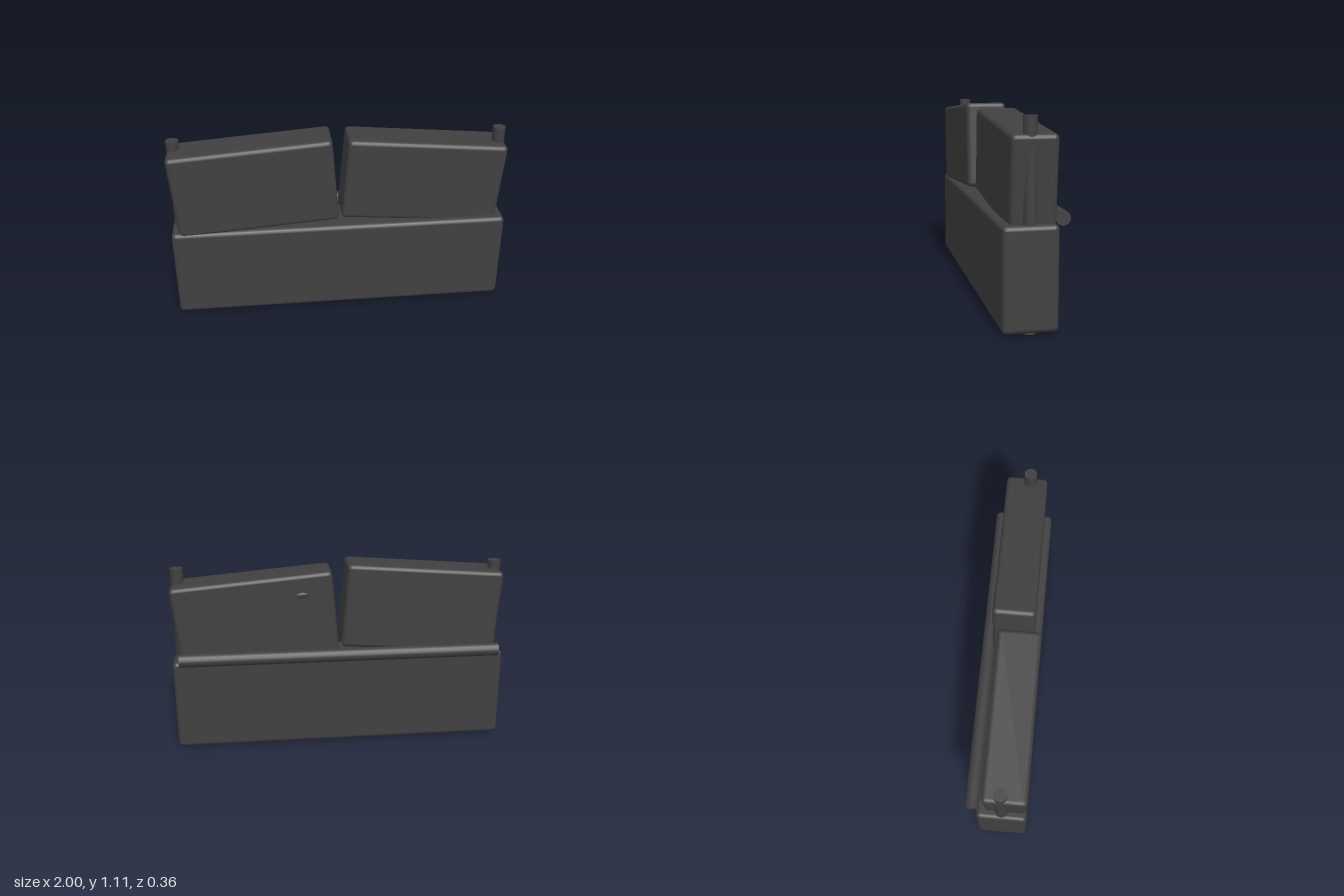
import * as THREE from 'three';
import { RoundedBoxGeometry } from 'three/addons/geometries/RoundedBoxGeometry.js';

export function createModel() {
  const group = new THREE.Group();
  const darkGrey = new THREE.MeshStandardMaterial({ color: 0x404040 });
  darkGrey.name = 'darkGrey';

  const add = (name, geometry, x, y, z, tilt = 0) => {
    const mesh = new THREE.Mesh(geometry, darkGrey);
    mesh.name = name;
    mesh.position.set(x, y, z);
    mesh.rotation.z = THREE.MathUtils.degToRad(tilt);
    group.add(mesh);
    return mesh;
  };
  const block = (w, h, d) => new RoundedBoxGeometry(w, h, d, 2, 0.026);

  // Long lower block
  add('base', block(2, 0.552, 0.295), 0, 0.284, 0.033);

  // Two tilted upper blocks, staggered in depth
  add('rightPanel', block(0.945, 0.51, 0.245), -0.5, 0.824, 0.053, 4.4);
  add('leftPanel', block(0.945, 0.5, 0.245), 0.499, 0.8, 0.012, -5);

  // Upright posts running through both ends
  for (const side of [-1, 1]) {
    add(side < 0 ? 'rightPost' : 'leftPost',
      new THREE.CylinderGeometry(0.037, 0.037, 1.1, 16), side * 0.95, 0.55, 0.032);
  }

  // Horizontal rail behind the base
  add('backRail', new THREE.CylinderGeometry(0.039, 0.039, 1.91, 16), 0, 0.585, -0.14, 90);

  // Small raised bump on the back of the left panel
  add('backBump', new THREE.SphereGeometry(1, 12, 8), 0.23, 0.953, -0.108, -5)
    .scale.set(0.04, 0.017, 0.01);

  return group;
}
